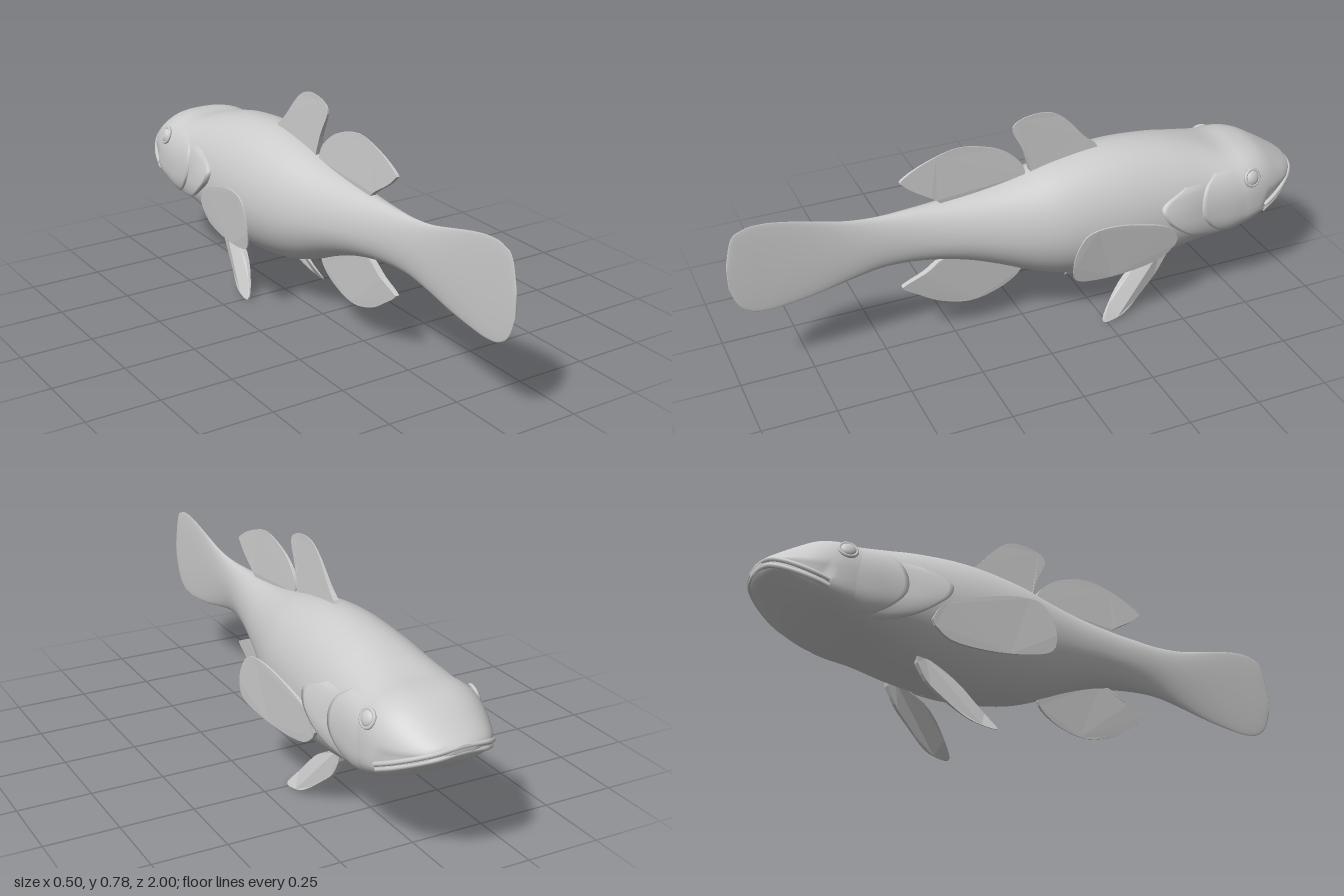
import * as THREE from 'three';

const material = new THREE.MeshStandardMaterial({ color: 0xcccccc, side: THREE.DoubleSide });

// Body sections along z: [z, top, bottom, half width, y of widest point, roundness exponent]
const SECTIONS = [
  [-1, .435, .408, .035, .42, 2], [-.985, .447, .385, .085, .414, 2], [-.96, .463, .365, .122, .402, 2.1],
  [-.9, .5, .32, .165, .378, 2.3], [-.85, .525, .29, .186, .36, 2.6], [-.79, .537, .262, .198, .355, 2.8],
  [-.72, .54, .232, .199, .355, 2.7], [-.62, .568, .205, .195, .36, 2.3], [-.5, .596, .172, .197, .36, 2.1],
  [-.3, .613, .147, .192, .365, 2], [-.1, .59, .173, .17, .37, 2], [0, .567, .207, .146, .375, 2],
  [.1, .548, .252, .118, .385, 2], [.2, .535, .29, .092, .4, 2], [.3, .527, .315, .068, .41, 2],
  [.4, .523, .328, .047, .42, 2], [.5, .521, .328, .03, .425, 2], [.6, .53, .31, .019, .42, 2],
  [.7, .553, .288, .012, .42, 2], [.8, .577, .273, .008, .42, 2], [.88, .588, .267, .006, .42, 2],
  [.94, .58, .28, .005, .42, 2], [.98, .545, .32, .004, .42, 2], [1, .46, .38, .003, .42, 2],
];
const profile = new THREE.CubicInterpolant(
  SECTIONS.map(s => s[0]), SECTIONS.flatMap(s => s.slice(1)), 5);

// Half width of the body at a given z and height
function bodyX(z, y) {
  const [top, bottom, w, cy, n] = profile.evaluate(z);
  const t = Math.min(1, Math.abs((y - cy) / (y > cy ? top - cy : cy - bottom)));
  return w * (1 - t ** n) ** (1 / n);
}

// Smooth surface through rows of points
function grid(name, rows, closed = false) {
  const cols = rows[0].length, index = [];
  for (let r = 0; r < rows.length - 1; r++) {
    for (let c = 0; c < (closed ? cols : cols - 1); c++) {
      const a = r * cols + c, b = r * cols + (c + 1) % cols;
      index.push(a, b, a + cols, b, b + cols, a + cols);
    }
  }
  const g = new THREE.BufferGeometry();
  g.setAttribute('position', new THREE.Float32BufferAttribute(rows.flat(2), 3));
  g.setIndex(index);
  g.computeVertexNormals();
  return part(name, g);
}

function part(name, geometry) {
  const mesh = new THREE.Mesh(geometry, material);
  mesh.name = name;
  return mesh;
}

// Body and tail fin in one loft, pinched along the mouth line
function body() {
  const rows = [], N = 100, M = 48;
  for (let i = 0; i <= N; i++) {
    const z = -Math.cos(Math.PI * i / N), ring = [];
    const [top, bottom, w, cy, n] = profile.evaluate(z);
    const end = i === 0 || i === N ? 0 : 1;
    for (let j = 0; j < M; j++) {
      const a = 2 * Math.PI * j / M, c = Math.cos(a), s = Math.sin(a);
      const pinch = z < -.84 && Math.abs(s) < .01 ? .94 : 1;
      const h = s > 0 ? top - cy : cy - bottom;
      ring.push([
        end * pinch * w * Math.sign(c) * Math.abs(c) ** (2 / n),
        cy + end * h * Math.sign(s) * Math.abs(s) ** (2 / n), z]);
    }
    rows.push(ring);
  }
  return grid('body', rows, true);
}

// Gill plate lying on the body, lifted at its rear edge; points are [y, front z, rear z]
function plate(name, points, lift) {
  const path = new THREE.CatmullRomCurve3(points.map(p => new THREE.Vector3(...p)));
  const rows = path.getPoints(24).map((p, r) => {
    const row = [], fade = Math.sin(Math.PI * r / 24) ** .5;
    for (let c = 0; c <= 10; c++) {
      const v = c / 10, z = p.y + (p.z - p.y) * v;
      row.push([bodyX(z, p.x) + .001 + lift * fade * Math.sin(v * Math.PI / 2), p.x, z]);
    }
    row.push([bodyX(p.z, p.x) - .01, p.x, p.z - .004]);
    return row;
  });
  return grid(name, rows);
}

// Thin fin from a [z, y] outline; centre and thickness are rules of z and y
function fin(name, outline, thickness, centre = () => 0) {
  const pts = outline.map(p => new THREE.Vector2(...p));
  const shape = new THREE.Shape().moveTo(...outline[0]);
  shape.splineThru(pts.slice(1));
  const g = new THREE.ExtrudeGeometry(shape, { depth: 1, bevelEnabled: false, curveSegments: 3 });
  g.translate(0, 0, -.5).rotateY(-Math.PI / 2);
  const p = g.attributes.position;
  for (let i = 0; i < p.count; i++) {
    const y = p.getY(i), z = p.getZ(i);
    p.setX(i, centre(z, y) + p.getX(i) * thickness(z, y));
  }
  g.computeVertexNormals();
  return part(name, g);
}

// Lip following the mouth line around the snout
function lip(name, dy, radius) {
  const side = [[-.83, .336], [-.88, .358], [-.93, .382], [-.965, .4], [-.985, .411]]
    .map(([z, y]) => [bodyX(z, y + dy) - .002, y + dy, z]);
  const pts = [...side, [0, .42 + dy, -.993], ...side.map(([x, y, z]) => [-x, y, z]).reverse()];
  const curve = new THREE.CatmullRomCurve3(pts.map(p => new THREE.Vector3(...p)));
  return part(name, new THREE.TubeGeometry(curve, 60, radius, 8));
}

// Everything that comes in pairs, built on the +x side
function pairedParts() {
  const side = new THREE.Group();
  side.add(plate('cheekPlate', [[.5, -.72, -.64], [.455, -.73, -.59], [.37, -.75, -.58],
    [.3, -.75, -.64], [.27, -.75, -.7]], .009));
  side.add(plate('gillCover', [[.48, -.6, -.52], [.43, -.6, -.425], [.39, -.6, -.435],
    [.35, -.62, -.475], [.3, -.65, -.55], [.265, -.69, -.65]], .017));

  // Eye with its socket rim
  const eye = new THREE.Group();
  eye.name = 'eye';
  const ball = part('eyeball', new THREE.SphereGeometry(.026, 20, 14));
  ball.scale.z = .5;
  eye.add(ball, part('eyeRim', new THREE.TorusGeometry(.028, .006, 8, 24)));
  eye.position.set(bodyX(-.775, .465) + .002, .465, -.775);
  eye.rotation.set(-.35, Math.PI / 2 + .15, 0, 'YXZ');
  side.add(eye);

  side.add(fin('pectoralFin', [[-.49, .3], [-.46, .35], [-.38, .39], [-.24, .43], [-.14, .432], [-.095, .39],
    [-.075, .33], [-.085, .27], [-.16, .243], [-.29, .23], [-.42, .24], [-.48, .28]],
  z => .012 - .02 * (z + .5), (z, y) => .195 + .13 * (z + .49) + .08 * Math.min(0, y - .32)));
  side.add(fin('pelvicFin', [[-.5, .21], [-.44, .195], [-.345, .14], [-.27, .055], [-.235, .005], [-.27, .001],
    [-.33, .018], [-.4, .07], [-.46, .125], [-.495, .185]],
  (z, y) => .003 + .1 * y, (z, y) => .105 + 1.7 * Math.max(0, .18 - y) ** 2));
  return side;
}

export function createModel() {
  const model = new THREE.Group();
  model.name = 'fish';
  model.add(body(), lip('upperLip', .009, .008), lip('lowerLip', -.009, .008));

  // Fins on the midline, thicker at the root
  const taper = (root, height) => (z, y) => .003 + .02 * Math.max(0, 1 - Math.abs(y - root) / height);
  model.add(fin('frontDorsalFin', [[-.03, .55], [-.02, .59], [0, .655], [.033, .725], [.02, .757], [-.035, .774],
    [-.1, .77], [-.155, .735], [-.225, .655], [-.27, .612], [-.26, .57]], taper(.58, .18)));
  model.add(fin('rearDorsalFin', [[0, .54], [-.005, .58], [.015, .62], [.075, .67], [.165, .703], [.245, .708],
    [.35, .675], [.42, .635], [.415, .618], [.38, .588], [.31, .543], [.28, .51]], taper(.55, .15)));
  model.add(fin('analFin', [[0, .25], [.005, .2], [.04, .16], [.11, .125], [.2, .112], [.3, .14],
    [.38, .19], [.43, .226], [.42, .24], [.35, .27], [.29, .31], [.2, .33]], taper(.28, .15)));

  const left = pairedParts(), right = pairedParts();
  left.name = 'leftSide';
  right.name = 'rightSide';
  right.scale.x = -1;
  model.add(left, right);
  return model;
}
